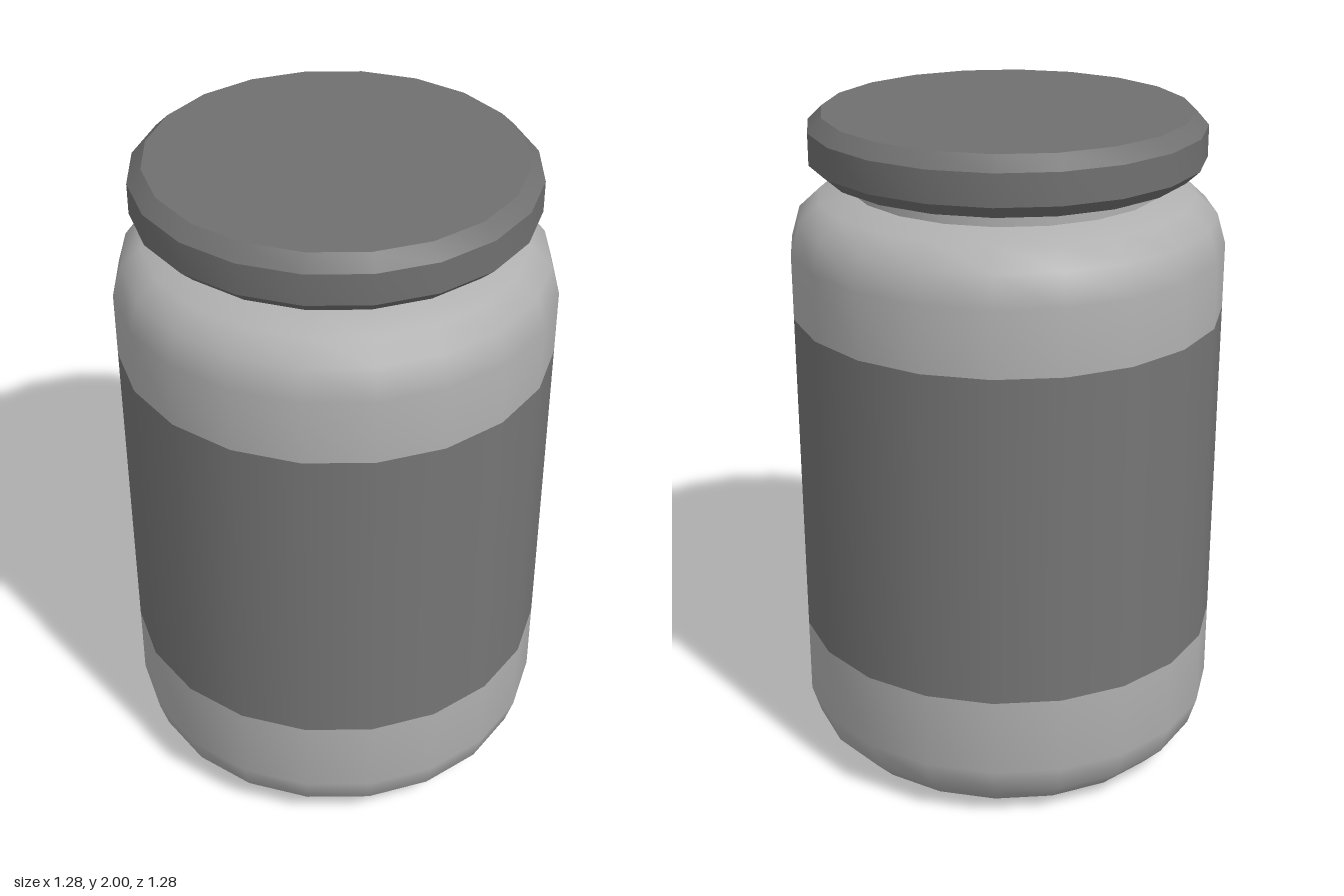
import * as THREE from 'three';
import { toCreasedNormals } from 'three/addons/utils/BufferGeometryUtils.js';

const SIDES = 20;

const paint = (name, color) => {
  const material = new THREE.MeshStandardMaterial({ color });
  material.name = name;
  return material;
};

// Turned part from [radius, height] points, listed from bottom to top
function turned(name, material, profile, sharp = false) {
  let geometry = new THREE.LatheGeometry(profile.map(([r, y]) => new THREE.Vector2(r, y)), SIDES);
  if (sharp) geometry = toCreasedNormals(geometry, 0.5);
  const mesh = new THREE.Mesh(geometry, material);
  mesh.name = name;
  return mesh;
}

export function createModel() {
  const jar = new THREE.Group();
  jar.name = 'jar';

  const glass = paint('light grey glass', 0xb0b0b0);
  const paper = paint('dark grey label', 0x757575);
  const metal = paint('dark grey lid', 0x707070);

  const R = 0.638, labelBottom = 0.415, labelTop = 1.415;

  // Rounded base up to the label
  jar.add(turned('lowerBody', glass, [
    [0, 0], [0.45, 0.003], [0.55, 0.03], [0.612, 0.095], [R, 0.18], [R, labelBottom],
  ]));

  // Label wraps flush around the body
  jar.add(turned('label', paper, [[R, labelBottom], [R, labelTop]]));

  // Rounded shoulder above the label
  jar.add(turned('shoulder', glass, [
    [R, labelTop], [R, 1.61], [0.612, 1.7], [0.55, 1.757], [0.455, 1.783],
  ]));

  // Straight neck running into the lid
  jar.add(turned('neck', glass, [[0.458, 1.76], [0.458, 1.84]]));

  // Lid with bevelled rims
  jar.add(turned('lid', metal, [
    [0, 1.83], [0.535, 1.83], [0.576, 1.868], [0.576, 1.96], [0.535, 2], [0, 2],
  ], true));

  return jar;
}
